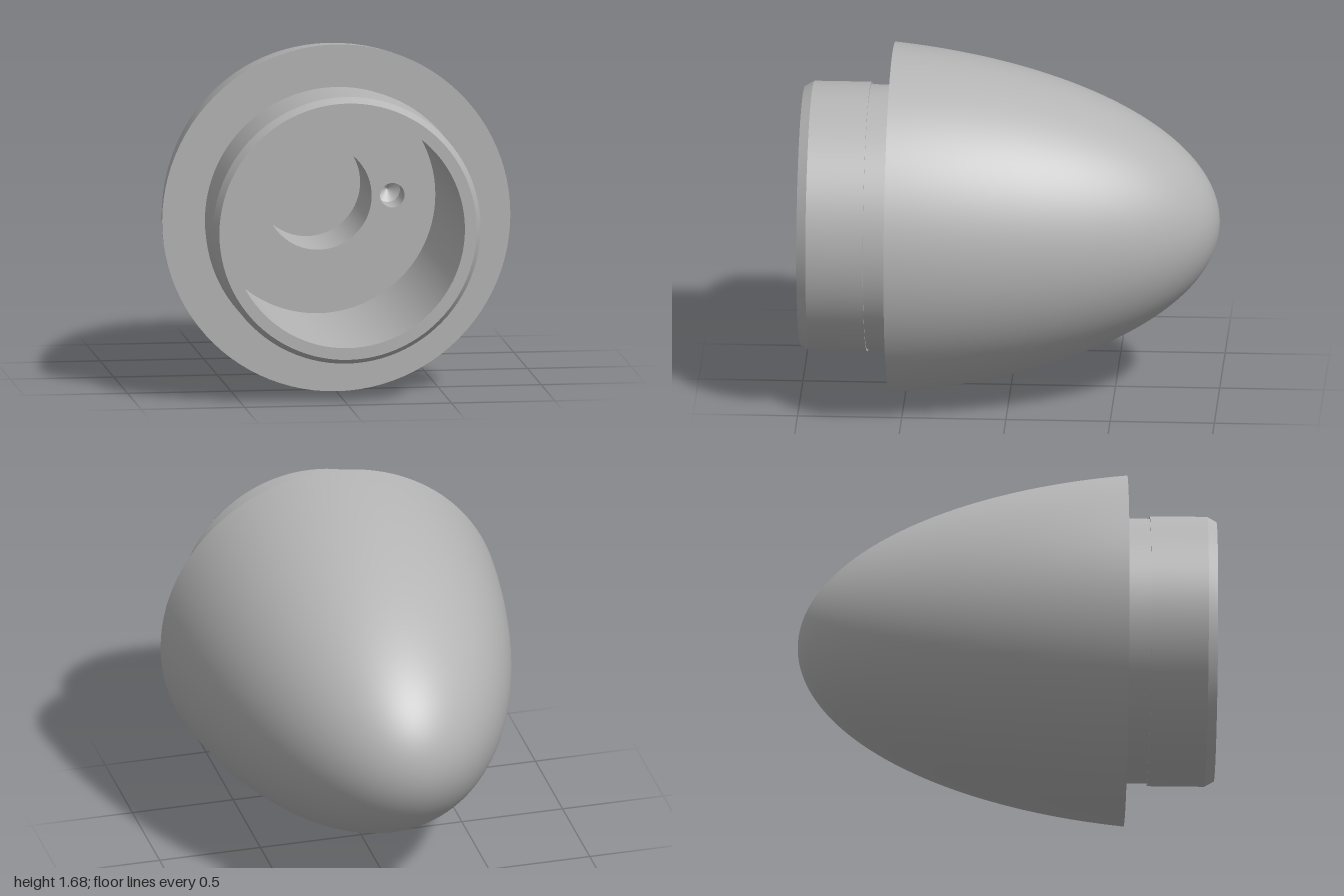
import * as THREE from 'three';

export function createModel() {
  const model = new THREE.Group();
  const grey = new THREE.MeshStandardMaterial({ color: 0xb4b4b4 });
  grey.name = 'plain grey';
  const axisY = 0.843;
  const floorZ = -0.08;

  // Turns a profile of [radius, z] points about the long axis; z rising gives an outer wall, falling an inner one
  function turn(name, points, x = 0, segments = 96) {
    const geo = new THREE.LatheGeometry(points.map(([r, z]) => new THREE.Vector2(r, z)), segments);
    geo.rotateX(Math.PI / 2);
    const mesh = new THREE.Mesh(geo, grey);
    mesh.name = name;
    mesh.position.set(x, axisY, 0);
    model.add(mesh);
  }

  // Elliptical nose, closely spaced near the blunt tip
  const nose = [];
  for (let i = 0; i <= 48; i++) {
    const t = 1.57 * (i / 48) ** 2;
    nose.push([Math.sqrt(0.74 * t - 0.184 * t * t), t - 1]);
  }
  turn('noseShell', nose);

  // Shoulder, recessed neck and chamfered collar
  turn('shoulderFace', [[nose[48][0], 0.57], [0.635, 0.57]]);
  turn('neck', [[0.635, 0.57], [0.635, 0.68]]);
  turn('collarStep', [[0.635, 0.68], [0.647, 0.68]]);
  turn('collar', [[0.647, 0.68], [0.647, 0.955]]);
  turn('collarChamfer', [[0.647, 0.955], [0.622, 1]]);
  turn('collarRim', [[0.622, 1], [0.565, 1]]);

  // Main bore
  turn('boreWall', [[0.565, 1], [0.565, floorZ]]);

  // Bore floor pierced by the central pocket and the offset drilled hole
  const floor = new THREE.Shape().absarc(0, 0, 0.565, 0, Math.PI * 2);
  floor.holes.push(
    new THREE.Path().absarc(0, 0, 0.257, 0, Math.PI * 2, true),
    new THREE.Path().absarc(0.357, 0, 0.059, 0, Math.PI * 2, true)
  );
  const boreFloor = new THREE.Mesh(new THREE.ShapeGeometry(floor, 48), grey);
  boreFloor.name = 'boreFloor';
  boreFloor.position.set(0, axisY, floorZ);
  model.add(boreFloor);

  // Central pocket
  turn('pocketWall', [[0.257, floorZ], [0.257, -0.5]]);
  turn('pocketFloor', [[0.257, -0.5], [0, -0.5]]);

  // Drilled hole with a conical end
  turn('drilledHoleWall', [[0.059, floorZ], [0.059, -0.25]], 0.357, 48);
  turn('drilledHoleTip', [[0.059, -0.25], [0, -0.285]], 0.357, 48);

  return model;
}
